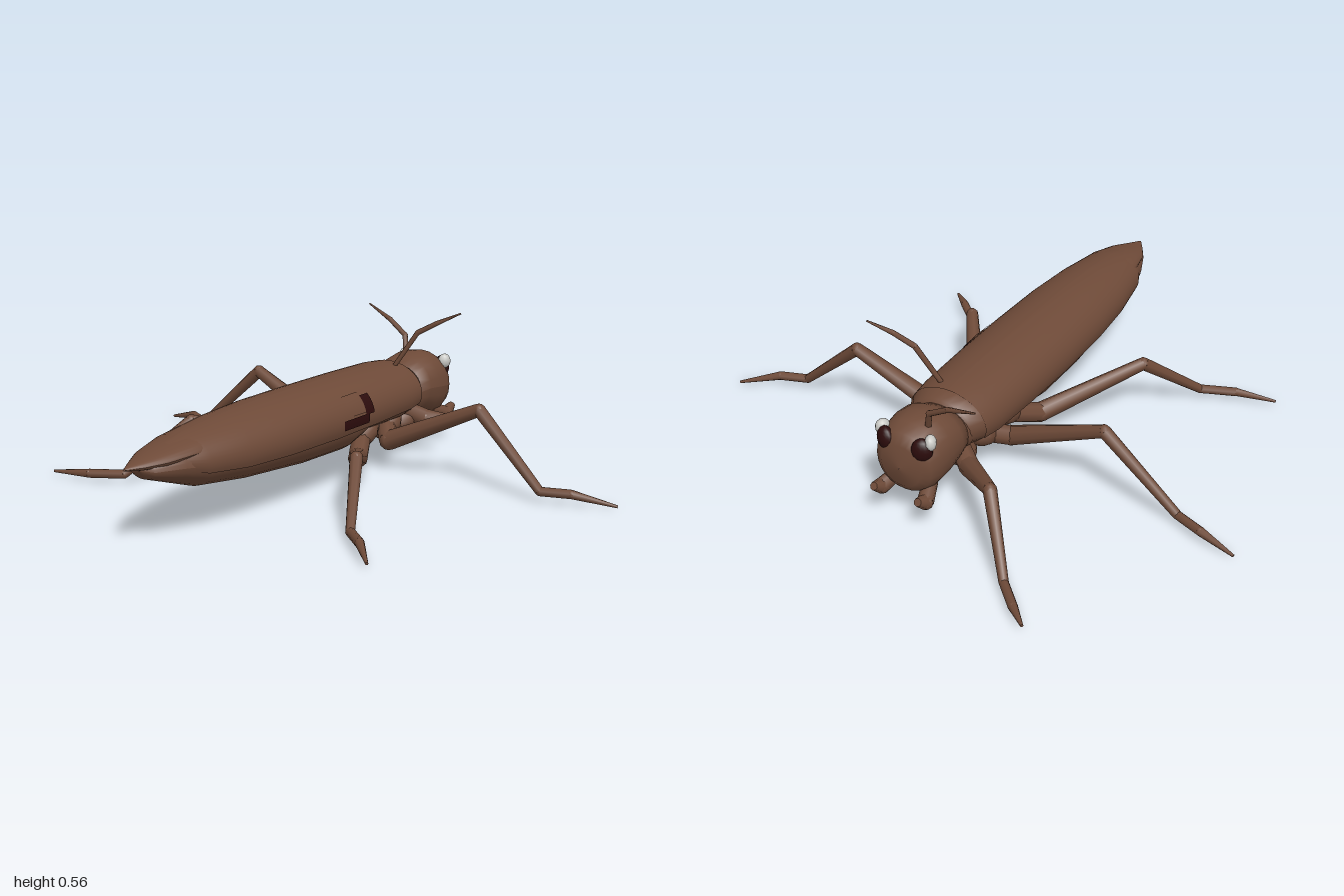
import * as THREE from 'three';

const mat = (name, color, side = THREE.FrontSide) => {
  const m = new THREE.MeshStandardMaterial({ color, side });
  m.name = name;
  return m;
};

// Skin of elliptical rings along x; each station is [x, centreY, halfHeight, halfWidth].
// from/to limit the arc (0 = +z side, PI/2 = top).
function loft(stations, from = 0, to = Math.PI * 2, n = 24, power = 1) {
  const pos = [], idx = [];
  const bend = (v) => Math.sign(v) * Math.abs(v) ** power;
  for (const [x, y, ry, rz] of stations) {
    for (let i = 0; i <= n; i++) {
      const a = from + (to - from) * i / n;
      pos.push(x, y + ry * bend(Math.sin(a)), rz * bend(Math.cos(a)));
    }
  }
  for (let s = 0; s < stations.length - 1; s++) {
    for (let i = 0; i < n; i++) {
      const a = s * (n + 1) + i, b = a + n + 1;
      idx.push(a, b, a + 1, a + 1, b, b + 1);
    }
  }
  const g = new THREE.BufferGeometry();
  g.setAttribute('position', new THREE.Float32BufferAttribute(pos, 3));
  // stations run from tail (-x) to head (+x); flip so faces look outward
  for (let i = 0; i < idx.length; i += 3) [idx[i + 1], idx[i + 2]] = [idx[i + 2], idx[i + 1]];
  g.setIndex(idx);
  g.computeVertexNormals();
  return g;
}

export function createModel() {
  const root = new THREE.Group();
  root.name = 'insect';
  const brown = mat('brown shell', 0x6e4a38, THREE.DoubleSide);
  const maroon = mat('dark maroon', 0x2c0c0c, THREE.DoubleSide);
  const pale = mat('pale eye glint', 0xc8c8c4, THREE.DoubleSide);

  const add = (name, geo, m = brown, parent = root) => {
    const mesh = new THREE.Mesh(geo, m);
    mesh.name = name;
    parent.add(mesh);
    return mesh;
  };

  // Tapered limb through points, with a rounded joint at each bend
  function limb(name, pts, radii, sides = 8) {
    const group = new THREE.Group();
    group.name = name;
    const up = new THREE.Vector3(0, 1, 0);
    const p = pts.map((q) => new THREE.Vector3(...q));
    for (let i = 0; i < p.length - 1; i++) {
      const d = p[i + 1].clone().sub(p[i]);
      const seg = add('segment', new THREE.CylinderGeometry(radii[i + 1], radii[i], d.length(), sides), brown, group);
      seg.position.copy(p[i]).addScaledVector(d, 0.5);
      seg.quaternion.setFromUnitVectors(up, d.normalize());
      if (i > 0) add('joint', new THREE.SphereGeometry(radii[i], sides, 6), brown, group).position.copy(p[i]);
    }
    root.add(group);
  }

  // Abdomen and thorax
  add('abdomen', loft([
    [-0.915, 0.265, 0.001, 0.001], [-0.9, 0.265, 0.03, 0.055], [-0.8, 0.262, 0.062, 0.095],
    [-0.7, 0.25, 0.085, 0.115], [-0.5, 0.247, 0.108, 0.143], [-0.2, 0.242, 0.125, 0.16],
    [0.03, 0.24, 0.127, 0.158], [0.1, 0.25, 0.115, 0.155], [0.16, 0.26, 0.1, 0.15],
  ]));
  add('thorax', loft([
    [0.04, 0.262, 0.1, 0.15], [0.2, 0.262, 0.108, 0.154], [0.36, 0.262, 0.107, 0.156],
    [0.43, 0.265, 0.1, 0.148], [0.48, 0.262, 0.088, 0.118], [0.5, 0.26, 0.06, 0.08],
  ]));
  // Folded wing covers, one on each side
  const wing = [
    [-0.8, 0.27, 0.058, 0.088], [-0.72, 0.26, 0.086, 0.124], [-0.55, 0.253, 0.112, 0.148], [-0.35, 0.252, 0.123, 0.163],
    [-0.1, 0.252, 0.125, 0.169], [0.15, 0.254, 0.123, 0.166], [0.36, 0.257, 0.117, 0.159],
    [0.44, 0.26, 0.107, 0.148],
  ];
  add('leftWingCover', loft(wing, -0.35, Math.PI / 2, 14));
  add('rightWingCover', loft(wing, Math.PI / 2, Math.PI + 0.35, 14));
  // Pointed wing tips and tail
  add('tailTip', loft([
    [-0.98, 0.283, 0.004, 0.004], [-0.93, 0.284, 0.014, 0.035],
    [-0.86, 0.29, 0.025, 0.072], [-0.74, 0.3, 0.04, 0.1], [-0.65, 0.31, 0.03, 0.09],
  ]));
  // Dark hollow on the flank behind the shoulder plate
  add('flankHollow', loft([
    [-0.08, 0.252, 0.128, 0.172], [0.0, 0.252, 0.128, 0.172], [0.07, 0.252, 0.128, 0.171],
  ], -0.15, 0.12, 5), maroon);
  add('flankHollowUpper', loft([
    [0.05, 0.252, 0.128, 0.171], [0.1, 0.252, 0.128, 0.171],
  ], 0.1, 0.65, 6), maroon);
  add('shoulderPlate', loft([
    [-0.04, 0.254, 0.126, 0.17], [0.04, 0.254, 0.128, 0.173], [0.06, 0.254, 0.124, 0.168],
  ], 0.16, 0.75, 8));

  // Neck and head
  add('neck', loft([
    [0.42, 0.25, 0.085, 0.11], [0.47, 0.25, 0.088, 0.12], [0.53, 0.248, 0.09, 0.1],
  ]));
  add('head', loft([
    [0.47, 0.25, 0.04, 0.05], [0.49, 0.25, 0.088, 0.112], [0.54, 0.257, 0.108, 0.124],
    [0.6, 0.252, 0.125, 0.125], [0.66, 0.245, 0.125, 0.12], [0.7, 0.24, 0.108, 0.105],
    [0.72, 0.235, 0.075, 0.075], [0.73, 0.23, 0.001, 0.001],
  ], 0, Math.PI * 2, 24, 0.92));

  for (const s of [1, -1]) {
    const side = s > 0 ? 'left' : 'right';
    // Eyes with a pale outer patch
    const eye = add(side + 'Eye', new THREE.SphereGeometry(1, 14, 10), maroon);
    eye.scale.set(0.025, 0.042, 0.036);
    eye.position.set(0.697, 0.308, s * 0.07);
    eye.rotation.y = -s * 0.4;
    const glint = add(side + 'EyePatch', new THREE.SphereGeometry(1, 10, 8), pale);
    glint.scale.set(0.026, 0.028, 0.02);
    glint.position.set(0.68, 0.334, s * 0.092);
    glint.rotation.y = -s * 0.5;
    // Mouth feelers
    limb(side + 'Mouthpart', [[0.64, 0.15, s * 0.06], [0.71, 0.12, s * 0.085], [0.755, 0.145, s * 0.085]], [0.025, 0.028, 0.014]);
    // Coxae beneath the thorax
    for (const [x, z] of [[0.18, 0.065], [0.33, 0.065], [0.46, 0.06]]) {
      const c = add(side + 'Coxa', new THREE.SphereGeometry(1, 10, 8));
      c.scale.set(0.075, 0.045, 0.05);
      c.position.set(x, 0.155, s * z);
      c.rotation.z = 0.4;
    }
  }

  // Antennae
  limb('leftAntenna', [[0.5, 0.29, 0.02], [0.4, 0.36, 0.05], [0.43, 0.49, 0.13], [0.45, 0.53, 0.2], [0.485, 0.57, 0.28]],
    [0.01, 0.009, 0.01, 0.009, 0.003], 6);
  limb('rightAntenna', [[0.63, 0.35, -0.05], [0.65, 0.42, -0.07], [0.665, 0.47, -0.15], [0.695, 0.515, -0.27]],
    [0.012, 0.011, 0.01, 0.003], 6);

  // Legs: root, hip, knee, ankle, foot, toe
  const r = [0.036, 0.036, 0.023, 0.016, 0.016, 0.005];
  limb('leftMiddleLeg', [[0.33, 0.16, 0.06], [0.25, 0.12, 0.13], [0.275, 0.285, 0.49], [0.235, 0.05, 0.76], [0.27, 0.05, 0.86], [0.34, 0.015, 1.0]], r);
  limb('rightMiddleLeg', [[0.33, 0.16, -0.06], [0.25, 0.12, -0.13], [0.28, 0.285, -0.5], [0.265, 0.04, -0.77], [0.31, 0.045, -0.87], [0.335, 0.015, -1.0]], r);
  limb('leftHindLeg', [[0.18, 0.15, 0.06], [0.07, 0.095, 0.12], [-0.25, 0.21, 0.34], [-0.45, 0.035, 0.46], [-0.54, 0.045, 0.56], [-0.63, 0.025, 0.65]], r);
  limb('rightHindLeg', [[0.18, 0.15, -0.06], [0.05, 0.1, -0.13], [-0.25, 0.22, -0.38], [-0.455, 0.045, -0.52], [-0.51, 0.04, -0.64], [-0.54, 0.03, -0.785]], r);
  limb('rightFrontLeg', [[0.46, 0.19, -0.05], [0.52, 0.16, -0.13], [0.68, 0.235, -0.31], [0.83, 0.03, -0.45], [0.91, 0.03, -0.53], [0.975, 0.035, -0.6]], r);
  // Left front leg is a short stump
  limb('leftFrontLeg', [[0.44, 0.19, 0.06], [0.5, 0.15, 0.12], [0.525, 0.16, 0.2]], [0.035, 0.036, 0.014]);

  return root;
}
